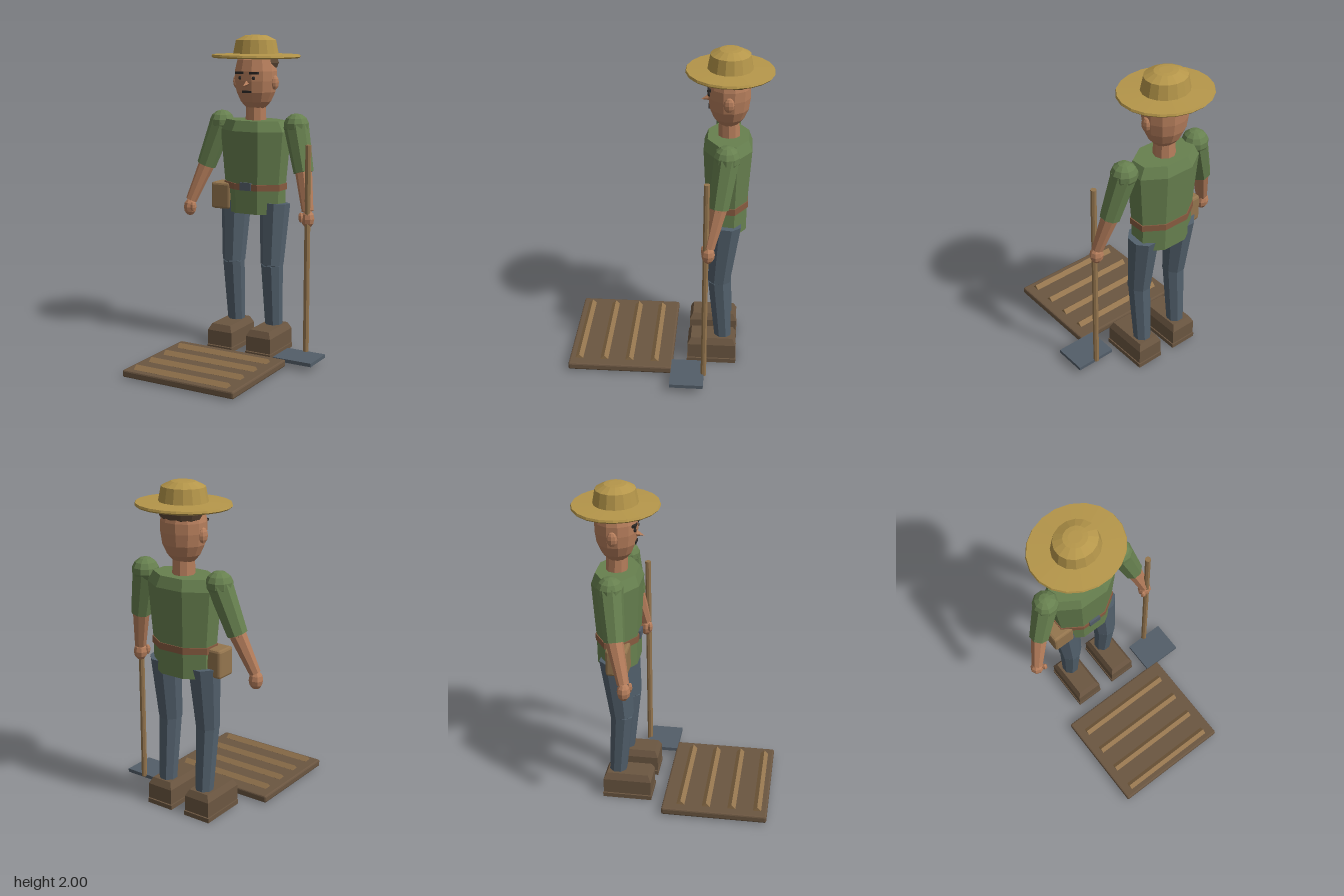
import * as THREE from 'three';
import { RoundedBoxGeometry } from 'three/addons/geometries/RoundedBoxGeometry.js';

const mat = (name, color) => {
  const m = new THREE.MeshStandardMaterial({ color });
  m.name = name;
  return m;
};

export function createModel() {
  const shirt = mat('green shirt', 0x67804f);
  const straw = mat('straw', 0xb5964a);
  const skin = mat('skin', 0xb67e5c);
  const denim = mat('blue grey denim', 0x52606c);
  const earth = mat('dark brown', 0x6b5641);
  const wood = mat('light wood', 0x94754e);
  const hairMat = mat('hair brown', 0x5c4734);
  const dark = mat('face dark', 0x2b2826);
  const leather = mat('belt leather', 0x875b40);
  const steel = mat('steel', 0x535e69);

  const model = new THREE.Group();
  model.name = 'gardener';
  const CX = -0.046, CZ = -0.35; // body axis
  const V = (x, y, z) => new THREE.Vector3(x, y, z);

  // Adds a faceted mesh
  function add(name, geometry, material, x = 0, y = 0, z = 0) {
    const g = geometry.index ? geometry.toNonIndexed() : geometry;
    g.computeVertexNormals();
    const mesh = new THREE.Mesh(g, material);
    mesh.name = name;
    mesh.position.set(x, y, z);
    model.add(mesh);
    return mesh;
  }

  const box = (name, m, x0, x1, y0, y1, z0, z1) =>
    add(name, new THREE.BoxGeometry(x1 - x0, y1 - y0, z1 - z0), m,
      (x0 + x1) / 2, (y0 + y1) / 2, (z0 + z1) / 2);

  // Faceted ellipsoid
  const blob = (name, m, p, rx, ry, rz, w = 10, h = 7) =>
    add(name, new THREE.SphereGeometry(1, w, h).scale(rx, ry, rz), m, p.x, p.y, p.z);

  // Elliptical turned part; profile gives flat-to-flat half widths, bottom to top
  function turned(name, m, profile, sides, depth) {
    const k = 1 / Math.cos(Math.PI / sides);
    const g = new THREE.LatheGeometry(profile.map(([r, y]) => new THREE.Vector2(r * k, y)), sides);
    return add(name, g.rotateY(Math.PI / sides).scale(1, 1, depth), m, CX, 0, CZ);
  }

  // Tapered limb from point a (radius ra) to point b (radius rb)
  function limb(name, m, a, b, ra, rb, sides = 8) {
    const d = b.clone().sub(a);
    const g = new THREE.CylinderGeometry(rb, ra, d.length(), sides);
    g.rotateY(Math.PI / sides);
    const mid = a.clone().add(b).multiplyScalar(0.5);
    const mesh = add(name, g, m, mid.x, mid.y, mid.z);
    mesh.quaternion.setFromUnitVectors(V(0, 1, 0), d.normalize());
    return mesh;
  }

  // Box with a narrower top
  function taperedBox(name, m, w, h, d, inset, x, y, z) {
    const g = new THREE.BoxGeometry(w, h, d, 1, 2, 1);
    const p = g.attributes.position;
    for (let i = 0; i < p.count; i++) {
      if (Math.abs(p.getY(i)) < 1e-5) p.setY(i, h * 0.2);
      else if (p.getY(i) > 0) {
        p.setX(i, p.getX(i) * (1 - 2 * inset / w));
        p.setZ(i, p.getZ(i) * (1 - 2 * inset / d));
      }
    }
    return add(name, g, m, x, y, z);
  }

  // Torso, belt and neck
  turned('torso', shirt, [[0, 0.89], [0.188, 0.89], [0.19, 1.06], [0.22, 1.41], [0.185, 1.475], [0, 1.475]], 8, 0.645);
  turned('belt', leather, [[0.18, 1.04], [0.198, 1.04], [0.198, 1.08], [0.18, 1.08]], 8, 0.65);
  box('buckle', steel, -0.085, -0.008, 1.04, 1.09, -0.235, -0.213);
  add('pouch', new RoundedBoxGeometry(0.14, 0.17, 0.13, 1, 0.015), wood, -0.25, 0.985, -0.32);
  limb('neck', skin, V(CX, 1.45, -0.355), V(CX, 1.6, -0.35), 0.066, 0.062, 10);

  // Head
  turned('head', skin, [[0, 1.54], [0.055, 1.545], [0.095, 1.59], [0.122, 1.65], [0.132, 1.72],
    [0.132, 1.78], [0.115, 1.85], [0.07, 1.89], [0, 1.9]], 12, 0.92);
  blob('hair', hairMat, V(CX, 1.83, -0.375), 0.139, 0.075, 0.106, 12, 8);
  for (const s of [-1, 1]) {
    blob('ear', skin, V(CX + s * 0.135, 1.71, -0.35), 0.022, 0.045, 0.032, 8, 6);
    blob('eye', dark, V(CX + s * 0.047, 1.74, -0.233), 0.012, 0.012, 0.01, 8, 6);
    box('eyebrow', dark, CX + s * 0.05 - 0.029, CX + s * 0.05 + 0.029, 1.763, 1.778, -0.245, -0.223);
  }
  box('mouth', dark, CX - 0.032, CX + 0.032, 1.648, 1.662, -0.25, -0.23);
  const nose = add('nose', new THREE.ConeGeometry(0.03, 0.075, 4).rotateX(1.85), skin, CX, 1.702, -0.222);
  nose.scale.set(0.95, 1, 1);

  // Straw hat
  turned('hatBrim', straw, [[0, 1.862], [0.272, 1.86], [0.28, 1.868], [0.275, 1.88], [0.12, 1.888], [0, 1.888]], 20, 0.91);
  turned('hatCrown', straw, [[0.144, 1.88], [0.126, 1.97], [0.07, 1.997], [0.04, 2], [0, 2]], 16, 0.91);

  // Arms: shoulder, sleeve, forearm, hand
  const arms = [
    { s: -1, shoulder: V(-0.288, 1.45, -0.347), elbow: V(-0.385, 1.17, -0.31), wrist: V(-0.465, 0.94, -0.25) },
    { s: 1, shoulder: V(0.24, 1.45, -0.347), elbow: V(0.312, 1.17, -0.31), wrist: V(0.366, 0.94, -0.26) },
  ];
  for (const { s, shoulder, elbow, wrist } of arms) {
    blob('shoulder', shirt, shoulder, 0.08, 0.077, 0.08);
    limb('sleeve', shirt, elbow, shoulder, 0.062, 0.078);
    blob('elbow', skin, elbow, 0.05, 0.05, 0.05, 8, 6);
    limb('forearm', skin, wrist, elbow, 0.036, 0.052);
    blob('hand', skin, V(wrist.x - 0.002 + s * 0.005, 0.895, wrist.z + 0.003), 0.044, 0.056, 0.04, 8, 6);
    blob('thumb', skin, V(wrist.x - s * 0.03, 0.905, wrist.z + 0.032), 0.017, 0.032, 0.017, 6, 5);
  }

  // Legs and boots
  for (const s of [-1, 1]) {
    const x = CX + s * 0.139;
    const hip = V(x, 0.955, -0.352), knee = V(x, 0.565, -0.318), ankle = V(x - s * 0.002, 0.15, -0.352);
    limb('thigh', denim, knee, hip, 0.073, 0.097);
    blob('knee', denim, knee, 0.066, 0.066, 0.062, 8, 6);
    limb('shin', denim, ankle, knee, 0.055, 0.07);
    taperedBox('boot', earth, 0.172, 0.135, 0.3, 0.02, x, 0.1, -0.283);
    box('bootSole', earth, x - 0.09, x + 0.09, 0, 0.028, -0.437, -0.13);
  }

  // Hoe
  limb('hoeHandle', wood, V(0.374, 0.045, -0.243), V(0.374, 1.35, -0.243), 0.018, 0.018);
  box('hoeBlade', steel, 0.247, 0.505, 0.034, 0.056, -0.245, -0.04);

  // Garden bed with furrow ridges
  add('gardenBed', new RoundedBoxGeometry(0.755, 0.045, 0.648, 1, 0.01), earth, -0.043, 0.031, 0.279);
  for (let i = 0; i < 4; i++) {
    const ridge = new THREE.CylinderGeometry(0.025, 0.025, 0.635, 4).rotateZ(Math.PI / 2);
    add('ridge', ridge, wood, -0.045, 0.054, 0.068 + i * 0.158);
  }
  return model;
}
